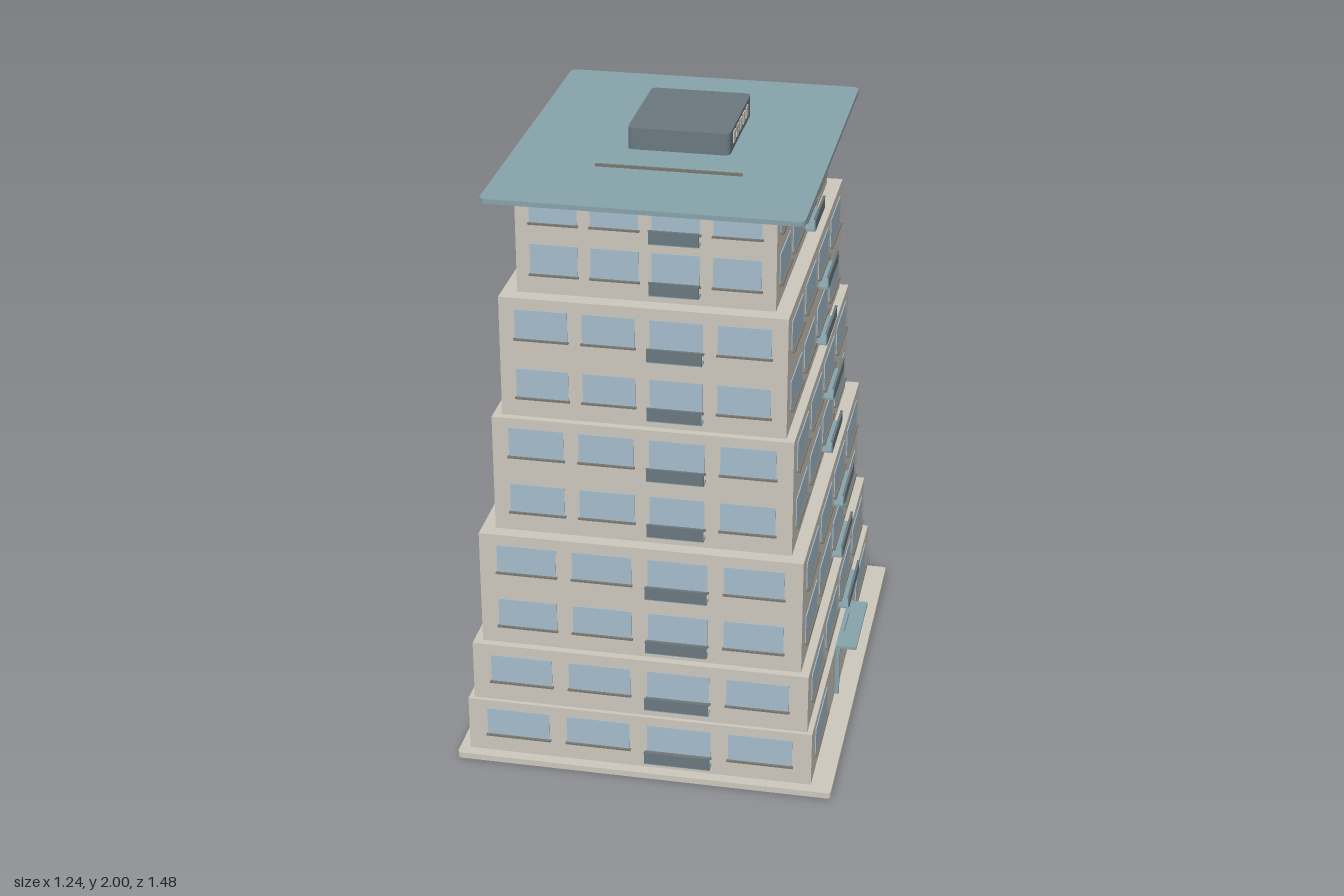
import * as THREE from 'three';

const mat = (name, color, extra = {}) => Object.assign(new THREE.MeshStandardMaterial({ color, ...extra }), { name });

export function createModel() {
  const cream = mat('cream wall', 0xcdc8bd);
  const teal = mat('teal metal', 0x88a3ab);
  const slate = mat('slate panel', 0x6a797f);
  const glass = mat('blue glass', 0xa5bccb);
  const sillGrey = mat('sill grey', 0x77766f);

  const model = new THREE.Group();
  model.name = 'terracedTower';

  // box given by its centre and size
  const box = (parent, name, m, x, y, z, w, h, d) => {
    const mesh = new THREE.Mesh(new THREE.BoxGeometry(w, h, d), m);
    mesh.name = name;
    mesh.position.set(x, y, z);
    parent.add(mesh);
    return mesh;
  };

  // horizontal slab with rounded corners
  const slab = (name, m, x0, x1, z0, z1, y0, y1, r) => {
    const s = new THREE.Shape();
    s.moveTo(x0 + r, -z1);
    s.lineTo(x1 - r, -z1);
    s.quadraticCurveTo(x1, -z1, x1, -z1 + r);
    s.lineTo(x1, -z0 - r);
    s.quadraticCurveTo(x1, -z0, x1 - r, -z0);
    s.lineTo(x0 + r, -z0);
    s.quadraticCurveTo(x0, -z0, x0, -z0 - r);
    s.lineTo(x0, -z1 + r);
    s.quadraticCurveTo(x0, -z1, x0 + r, -z1);
    const g = new THREE.ExtrudeGeometry(s, { depth: y1 - y0, bevelEnabled: false, curveSegments: 4 });
    g.rotateX(-Math.PI / 2);
    const mesh = new THREE.Mesh(g, m);
    mesh.name = name;
    mesh.position.y = y0;
    model.add(mesh);
  };

  slab('basePlinth', cream, -0.62, 0.617, -0.74, 0.74, 0, 0.02, 0.015);

  // tiers: bottom, top, half width, half depth, [window bottom, window top] per storey
  const CX = -0.019;
  const tiers = [
    [0.02, 0.21, 0.567, 0.702, [[0.085, 0.18]]],
    [0.21, 0.415, 0.549, 0.688, [[0.282, 0.377]]],
    [0.415, 0.81, 0.521, 0.662, [[0.48, 0.577], [0.678, 0.773]]],
    [0.81, 1.205, 0.477, 0.617, [[0.878, 0.975], [1.075, 1.172]]],
    [1.205, 1.605, 0.449, 0.593, [[1.272, 1.368], [1.472, 1.568]]],
    [1.605, 1.916, 0.402, 0.542, [[1.67, 1.767], [1.838, 1.892]]],
  ];

  // front, right, back and left facades: turn and the side the balcony is on
  const sides = [
    ['front', 0, 1], ['eastSide', Math.PI / 2, 1],
    ['back', Math.PI, -1], ['westSide', -Math.PI / 2, -1],
  ];

  tiers.forEach(([y0, y1, hw, hd, storeys], t) => {
    box(model, 'tierWall', cream, CX, (y0 + y1) / 2, 0, hw * 2, y1 - y0, hd * 2);
    sides.forEach(([label, turn, sign], i) => {
      const facade = new THREE.Group();
      facade.name = label + 'Facade';
      facade.position.x = CX;
      facade.rotation.y = turn;
      model.add(facade);
      const out = i % 2 ? hw : hd;
      const span = 2 * (i % 2 ? hd : hw);
      const w = span * 0.184;
      for (const [b, top] of storeys) {
        for (const k of [-1.5, -0.5, 0.5, 1.5]) {
          const x = k * span * 0.235;
          // the entrance takes the place of the two middle windows
          if (t === 0 && i === 1 && Math.abs(k) < 1) continue;
          box(facade, 'window', glass, x, (b + top) / 2, out + 0.001, w, top - b, 0.004);
          box(facade, 'windowSill', sillGrey, x, b - 0.003, out + 0.005, w + 0.008, 0.005, 0.012);
          if (k !== 0.5 * sign) continue;
          // balcony floor, front panel and handrail
          box(facade, 'balconyFloor', teal, x, b - 0.028, out + 0.018, w + 0.006, 0.006, 0.036);
          box(facade, 'balconyPanel', slate, x, b - 0.009, out + 0.035, w + 0.006, 0.038, 0.004);
          box(facade, 'balconyRail', slate, x, b + 0.012, out + 0.034, w + 0.008, 0.005, 0.008);
        }
      }
    });
  });

  // entrance on the +x side
  const E = CX + 0.567;
  box(model, 'entranceDoor', cream, E + 0.002, 0.107, 0, 0.006, 0.175, 0.29);
  for (const s of [-1, 1]) box(model, 'entrancePost', teal, E + 0.006, 0.11, s * 0.146, 0.016, 0.18, 0.013);
  box(model, 'entranceLintel', teal, E + 0.006, 0.194, 0, 0.016, 0.012, 0.3);
  box(model, 'entranceCanopy', teal, E + 0.034, 0.206, -0.001, 0.07, 0.01, 0.306);
  box(model, 'canopySign', teal, E + 0.014, 0.216, 0, 0.005, 0.012, 0.125);
  box(model, 'wallTap', sillGrey, E + 0.003, 0.058, -0.29, 0.008, 0.008, 0.006);

  // service door on the -x side
  box(model, 'serviceDoor', sillGrey, CX - 0.568, 0.1, 0.335, 0.006, 0.16, 0.04);

  // roof, plant room and its vents
  slab('roof', teal, -0.515, 0.475, -0.615, 0.61, 1.914, 1.929, 0.025);
  slab('plantRoom', slate, -0.165, 0.162, -0.28, 0.11, 1.929, 2, 0.02);
  for (let i = 0; i < 5; i++) box(model, 'plantRoomWindow', cream, 0.163, 1.969, 0.034 - i * 0.057, 0.004, 0.038, 0.037);
  box(model, 'roofRail', sillGrey, 0, 1.933, 0.275, 0.46, 0.009, 0.008);

  return model;
}
